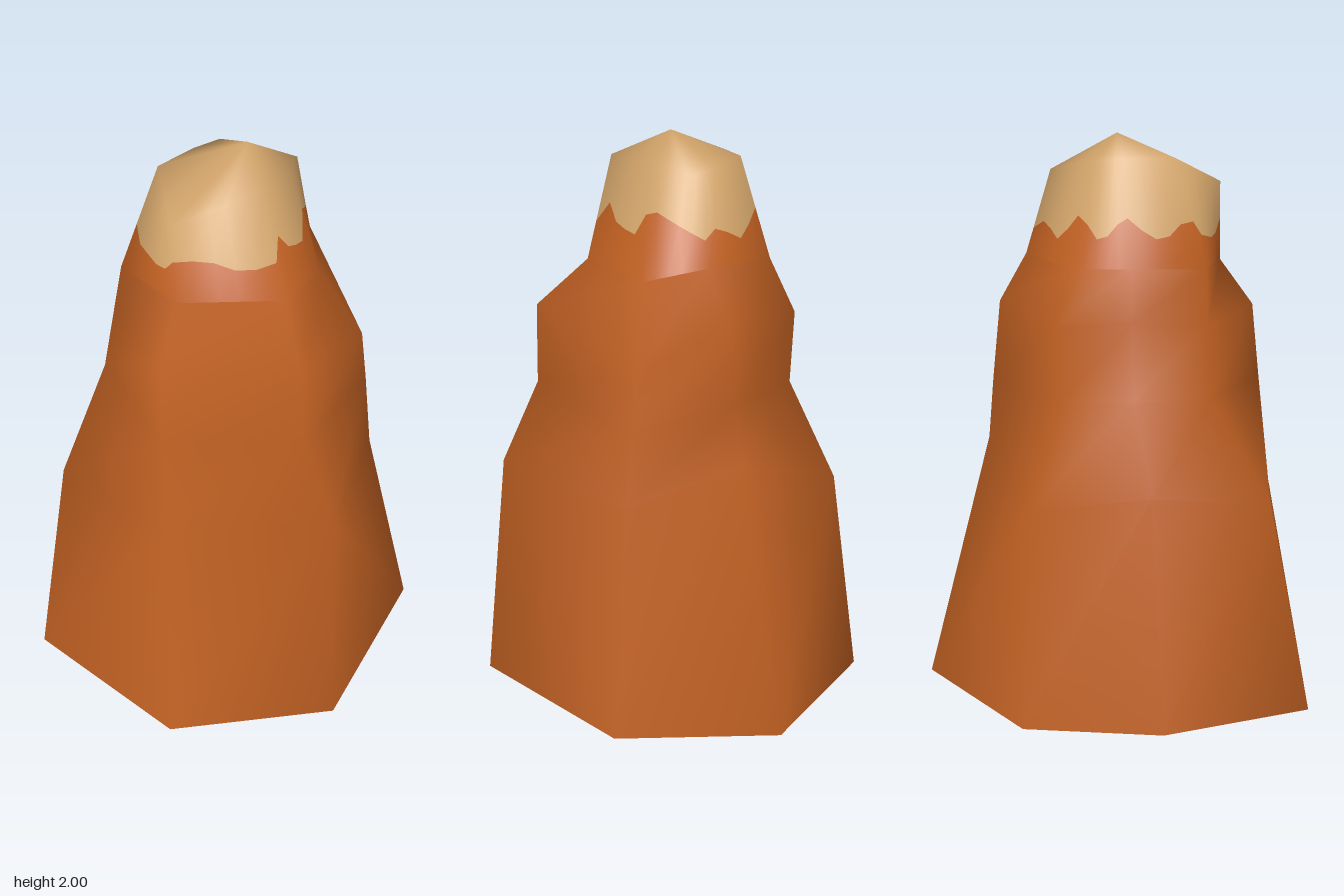
import * as THREE from 'three';

// Seven corner points per level, running back -> left -> front -> right
const levels = [
  [[0.11, 0, -0.725], [0.58, 0, -0.4], [0.63, 0, 0.35], [0.155, 0, 0.725], [-0.52, 0, 0.56], [-0.635, 0, 0.01], [-0.49, 0, -0.455]],
  [[0.1, 0.9, -0.49], [0.44, 0.77, -0.28], [0.57, 0.82, 0.3], [0.05, 0.77, 0.55], [-0.47, 0.75, 0.42], [-0.47, 0.79, 0], [-0.4, 0.75, -0.41]],
  [[0.11, 1.12, -0.47], [0.41, 1.04, -0.28], [0.435, 1.1, 0.27], [0.02, 1.1, 0.51], [-0.4, 1.12, 0.22], [-0.35, 1.1, -0.04], [-0.29, 1.1, -0.28]],
  [[0.12, 1.4, -0.44], [0.39, 1.23, -0.27], [0.425, 1.38, 0.28], [0, 1.38, 0.475], [-0.35, 1.36, 0.22], [-0.32, 1.38, -0.04], [-0.29, 1.36, -0.3]],
  [[0.13, 1.57, -0.34], [0.27, 1.51, -0.15], [0.29, 1.55, 0.15], [-0.02, 1.55, 0.345], [-0.31, 1.55, 0.22], [-0.26, 1.55, -0.03], [-0.23, 1.55, -0.23]],
  [[0.12, 1.87, -0.25], [0.18, 1.9, -0.07], [0.19, 1.91, 0.14], [-0.03, 1.83, 0.34], [-0.2, 1.92, 0.14], [-0.17, 1.92, -0.04], [-0.14, 1.91, -0.17]],
];
const apex = [0.05, 2, -0.02];

// Ragged height of the pale cap's lower edge, five steps per side
const capEdge = [
  1.66, 1.68, 1.7, 1.72, 1.74, 1.73, 1.66, 1.67, 1.69, 1.75, 1.68, 1.66,
  1.66, 1.69, 1.7, 1.7, 1.65, 1.64, 1.65, 1.66, 1.71, 1.7, 1.66, 1.65,
  1.68, 1.72, 1.7, 1.66, 1.65, 1.7, 1.73, 1.68, 1.64, 1.67, 1.69,
];
const SIDES = 7, STEPS = 5, COLS = SIDES * STEPS;
const FLIPPED = 1; // bottom facet on the left side, split along its other diagonal

// Triangles joining consecutive rings of n points
function stitch(rings, n, flipped = -1) {
  const index = [];
  for (let r = 0; r < rings - 1; r++) {
    for (let i = 0; i < n; i++) {
      const a = r * n + i, b = r * n + (i + 1) % n;
      if (a === flipped) index.push(b, a, b + n, a, a + n, b + n);
      else index.push(b, a, a + n, b, a + n, b + n);
    }
  }
  return index;
}

// Smooth normals of the coarse rock
function coarseNormals() {
  const geo = new THREE.BufferGeometry();
  geo.setAttribute('position', new THREE.Float32BufferAttribute([...levels.flat(2), ...apex], 3));
  const index = stitch(levels.length, SIDES, FLIPPED);
  const top = levels.length * SIDES;
  for (let i = 0; i < SIDES; i++) index.push(top - SIDES + (i + 1) % SIDES, top - SIDES + i, top);
  geo.setIndex(index);
  geo.computeVertexNormals();
  return geo.attributes.normal;
}

// One surface from a list of rings, each ring a list of { p, n }
function surface(rings, flipped) {
  const points = rings.flat();
  const geo = new THREE.BufferGeometry();
  geo.setAttribute('position', new THREE.Float32BufferAttribute(points.flatMap(v => v.p.toArray()), 3));
  geo.setAttribute('normal', new THREE.Float32BufferAttribute(points.flatMap(v => v.n.toArray()), 3));
  geo.setIndex(stitch(rings.length, rings[0].length, flipped));
  return geo;
}

function part(name, geometry, material) {
  const mesh = new THREE.Mesh(geometry, material);
  mesh.name = name;
  return mesh;
}

export function createModel() {
  const normals = coarseNormals();
  const corner = (p, i) => ({
    p: new THREE.Vector3(...p),
    n: new THREE.Vector3().fromBufferAttribute(normals, i),
  });
  const mix = (a, b, t) => ({
    p: a.p.clone().lerp(b.p, t),
    n: a.n.clone().lerp(b.n, t).normalize(),
  });
  // Subdivide a ring along its straight sides
  const refine = ring => Array.from({ length: COLS }, (_, c) => {
    const s = Math.floor(c / STEPS);
    return mix(ring[s], ring[(s + 1) % SIDES], (c % STEPS) / STEPS);
  });

  const rings = levels.map((level, r) => level.map((p, i) => corner(p, r * SIDES + i)));
  const tip = corner(apex, levels.length * SIDES);
  const shoulder = refine(rings[4]);
  const crown = refine(rings[5]);

  // Colour border within the uppermost band
  const border = shoulder.map((low, c) => {
    const high = crown[c];
    return mix(low, high, (capEdge[c] - low.p.y) / (high.p.y - low.p.y));
  });

  const rust = new THREE.MeshStandardMaterial({ color: 0xc06022, side: THREE.DoubleSide });
  rust.name = 'rust rock';
  const sand = new THREE.MeshStandardMaterial({ color: 0xd2a46a, side: THREE.DoubleSide });
  sand.name = 'pale sand';

  const group = new THREE.Group();
  group.name = 'rockSpire';
  group.add(
    part('rockBody', surface(rings.slice(0, 5), FLIPPED), rust),
    part('rockShoulder', surface([shoulder, border]), rust),
    part('rockCap', surface([border, crown, Array(COLS).fill(tip)]), sand),
  );
  return group;
}
